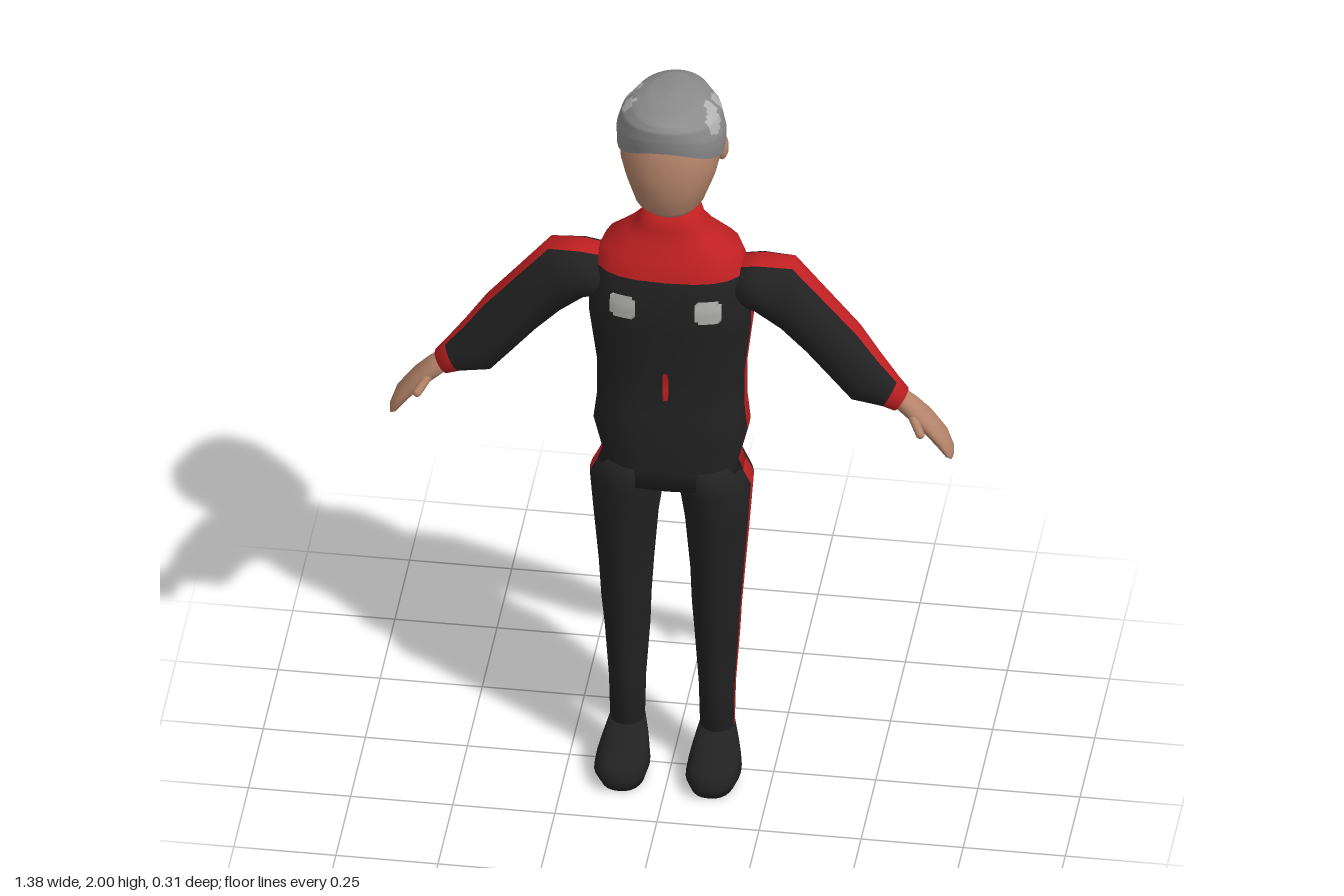
import * as THREE from 'three';

const mat = (name, color, side = THREE.FrontSide) => {
  const m = new THREE.MeshStandardMaterial({ color, side });
  m.name = name;
  return m;
};

// Rings of points -> smooth indexed mesh; pick(row, column) chooses the material index.
function skinRings(rings, pick, materials, name, caps = true) {
  const n = rings[0].length, pos = rings.flat().flatMap(p => p.toArray());
  const lists = materials.map(() => []);
  for (let i = 0; i < rings.length - 1; i++) for (let j = 0; j < n; j++) {
    const k = (j + 1) % n, a = i * n + j, b = i * n + k;
    lists[pick(i, j)].push(a, a + n, b, b, a + n, b + n);
  }
  if (caps) [0, rings.length - 1].forEach((r, end) => {
    const c = new THREE.Vector3();
    rings[r].forEach(p => c.addScaledVector(p, 1 / n));
    const id = pos.length / 3;
    pos.push(c.x, c.y, c.z);
    for (let j = 0; j < n; j++) {
      const a = r * n + j, b = r * n + (j + 1) % n;
      lists[pick(end ? r - 1 : 0, j)].push(...(end ? [id, b, a] : [id, a, b]));
    }
  });
  const g = new THREE.BufferGeometry();
  g.setAttribute('position', new THREE.Float32BufferAttribute(pos, 3));
  g.setIndex(lists.flat());
  let start = 0;
  lists.forEach((l, m) => { g.addGroup(start, l.length, m); start += l.length; });
  g.computeVertexNormals();
  const mesh = new THREE.Mesh(g, materials.length > 1 ? materials : materials[0]);
  mesh.name = name;
  return mesh;
}

// Angles with a narrow strip of half-width s around 0 and around PI.
const STEPS = 10;
function stripAngles(s) {
  const out = [];
  for (const base of [0, Math.PI]) {
    out.push(base);
    for (let k = 0; k <= STEPS; k++) out.push(base + s + (Math.PI - 2 * s) * k / STEPS);
  }
  return out;
}
const HALF = STEPS + 2, COUNT = 2 * HALF;
const outerStrip = j => j === 0 || j === COUNT - 1;
const innerStrip = j => j === HALF || j === HALF - 1;

// Superellipse ring with centre c and half-axes A, B.
function ring(c, A, B, s, e = 2) {
  const p = (v) => Math.sign(v) * Math.pow(Math.abs(v) < 1e-9 ? 0 : Math.abs(v), 2 / e);
  return stripAngles(s).map(t =>
    c.clone().addScaledVector(A, p(Math.cos(t))).addScaledVector(B, p(Math.sin(t))));
}
const V = (x, y, z) => new THREE.Vector3(x, y, z);

// Upright section: y, centre x, half width, front z, back z
const flatRing = (m, [y, cx, rx, zf, zb], s, e) =>
  ring(V(m * cx, y, (zf + zb) / 2), V(m * rx, 0, 0), V(0, 0, m * (zf - zb) / 2), s, e);
// Limb section: top x, top y, bottom x, bottom y, centre z, half depth
const limbRing = (m, [tx, ty, bx, by, z, rz], s) =>
  ring(V(m * (tx + bx) / 2, (ty + by) / 2, z), V(m * (tx - bx) / 2, (ty - by) / 2, 0), V(0, 0, -m * rz), s);

const lerpRow = (rows, y) => {
  let i = 0;
  while (i < rows.length - 2 && rows[i + 1][0] < y) i++;
  const t = (y - rows[i][0]) / (rows[i + 1][0] - rows[i][0]);
  return rows[i].map((v, k) => v + (rows[i + 1][k] - v) * t);
};

const TORSO_E = 2.6;
const TORSO = [
  [.885, 0, .188, .105, -.115], [.94, 0, .168, .11, -.125], [1.03, 0, .19, .115, -.13],
  [1.1, 0, .182, .107, -.128], [1.2, 0, .182, .10, -.12], [1.35, 0, .2, .116, -.118],
  [1.43, 0, .2, .118, -.116], [1.505, 0, .185, .108, -.115], [1.55, 0, .165, .088, -.11],
  [1.59, 0, .11, .07, -.09], [1.62, 0, .08, .06, -.08], [1.665, 0, .066, .055, -.075]];
const LEG = [
  [.115, .11, .042, .03, -.06], [.25, .11, .045, .04, -.07], [.4, .11, .055, .056, -.09],
  [.5, .111, .061, .066, -.07], [.6, .112, .067, .076, -.1], [.75, .112, .079, .092, -.108],
  [.87, .108, .092, .108, -.118], [.94, .088, .076, .105, -.12]];
const SHOE = [
  [.005, .11, .054, .135, -.022], [.04, .112, .067, .155, -.03], [.065, .112, .063, .13, -.036],
  [.09, .111, .056, .085, -.045], [.13, .11, .043, .03, -.06]];
const ARM = [
  [.16, 1.52, .16, 1.4, 0, .07], [.22, 1.53, .21, 1.385, 0, .078], [.3, 1.527, .27, 1.33, -.006, .072],
  [.38, 1.43, .33, 1.265, -.01, .066], [.46, 1.335, .4, 1.18, -.012, .062],
  [.51, 1.265, .44, 1.135, -.006, .052], [.555, 1.205, .515, 1.125, 0, .037], [.58, 1.172, .545, 1.115, 0, .032]];
const HAND = [
  [.565, 1.175, .54, 1.13, 0, .026], [.6, 1.143, .572, 1.1, -.003, .034], [.635, 1.105, .605, 1.07, -.006, .038],
  [.675, 1.05, .645, 1.025, -.006, .037], [.69, 1.005, .67, .992, -.006, .03], [.69, .988, .682, .984, -.006, .018]];
const HEAD = [
  [1.63, 0, .058, .045, -.068], [1.665, 0, .058, .05, -.075], [1.69, 0, .068, .092, -.08],
  [1.72, 0, .086, .126, -.086], [1.78, 0, .109, .133, -.1], [1.83, 0, .121, .142, -.11],
  [1.9, 0, .125, .132, -.12], [1.96, 0, .09, .1, -.1]];
// Hair: height share, side, front and back reach
const HAIR = [
  [0, .129, .139, .118], [.2, .133, .142, .13], [.4, .133, .144, .142], [.7, .12, .144, .157],
  [.87, .093, .134, .143], [.97, .05, .095, .09], [1, .002, .002, .002]];
const HAIR_BLOBS = [
  [.115, 1.95, .04, .03], [.11, 1.955, -.05, .025], [-.115, 1.95, -.04, .035], [.03, 1.93, -.155, .035],
  [-.06, 1.9, -.14, .025], [.1, 1.965, .01, .022], [-.1, 1.96, .03, .022], [.085, 1.87, -.11, .02]];

// Thin badge that follows the torso surface
function badge(name, material, x, y, w, h, side) {
  const g = new THREE.PlaneGeometry(w, h, 8, 8), p = g.attributes.position;
  for (let i = 0; i < p.count; i++) {
    const u = p.getX(i) / w * 2, v = p.getY(i) / h * 2;
    const corner = Math.abs(u * v) > .99 ? .012 : 0;
    const px = x + side * (p.getX(i) - Math.sign(u) * corner), py = y + p.getY(i) - Math.sign(v) * corner;
    const [, , rx, zf, zb] = lerpRow(TORSO, py);
    const k = Math.pow(1 - Math.pow(Math.abs(px) / rx, TORSO_E), 1 / TORSO_E);
    p.setXYZ(i, px, py, (zf + zb) / 2 + side * ((zf - zb) / 2 * k + .004));
  }
  g.computeVertexNormals();
  const m = new THREE.Mesh(g, material);
  m.name = name;
  return m;
}

function hair(materials) {
  const n = 56, rows = 24, rings = [];
  for (let i = 0; i <= rows; i++) {
    const [f, rx, zf, zb] = lerpRow(HAIR, Math.pow(i / rows, .85));
    rings.push(Array.from({ length: n }, (_, j) => {
      const t = j / n * Math.PI * 2, s = Math.sin(t);
      const hem = s > 0 ? 1.845 + .065 * s * s : 1.845 + .1 * s;
      return V(rx * Math.cos(t), hem + (2 - hem) * f, s * (s > 0 ? zf : zb));
    }));
  }
  const light = (i, j) => {
    const p = rings[i][j];
    return HAIR_BLOBS.some(([x, y, z, r]) => p.distanceTo(V(x, y, z)) < r) ? 1 : 0;
  };
  return skinRings(rings, light, materials, 'hair', false);
}

export function createModel() {
  const suit = mat('suitBlack', 0x222222), red = mat('trimRed', 0xc02022), skin = mat('skin', 0xb5846a);
  const grey = mat('hairGrey', 0x8c8c8c, THREE.DoubleSide), pale = mat('hairHighlight', 0xb4b4b4, THREE.DoubleSide);
  const patch = mat('badgeGrey', 0xb2b2ae, THREE.DoubleSide), trim = mat('zipRed', 0xc02022, THREE.DoubleSide);
  const root = new THREE.Group();
  root.name = 'figure';

  // Torso with red side stripes, yoke and collar
  root.add(skinRings(TORSO.map(r => flatRing(1, r, .14, TORSO_E)),
    (i, j) => (i >= 7 || outerStrip(j) || innerStrip(j) ? 1 : 0), [suit, red], 'torso'));
  root.add(badge('backPanel', patch, 0, 1.415, .21, .1, -1));
  root.add(badge('zip', trim, 0, 1.195, .014, .08, 1));

  // Head
  root.add(skinRings(HEAD.map(r => flatRing(1, r, .25, 2.1)), () => 0, [skin], 'head'));
  root.add(hair([grey, pale]));

  for (const m of [1, -1]) {
    const side = m > 0 ? 'left' : 'right';
    // Legs and shoes
    root.add(skinRings(LEG.map(r => flatRing(m, r, .24)), (i, j) => (outerStrip(j) ? 1 : 0), [suit, red], side + 'Leg'));
    root.add(skinRings(SHOE.map(r => flatRing(m, r, .3, 2.3)), () => 0, [suit], side + 'Shoe'));
    // Arms with a stripe on top and a red cuff
    root.add(skinRings(ARM.map(r => limbRing(m, r, .42)),
      (i, j) => (i === 6 || outerStrip(j) ? 1 : 0), [suit, red], side + 'Arm'));
    root.add(skinRings(HAND.map(r => limbRing(m, r, .3)), () => 0, [skin], side + 'Hand'));
    const thumb = new THREE.Mesh(new THREE.CapsuleGeometry(.011, .045, 4, 10), skin);
    thumb.name = side + 'Thumb';
    thumb.position.set(m * .605, 1.093, .037);
    thumb.quaternion.setFromUnitVectors(V(0, 1, 0), V(m * .45, -.6, .55).normalize());
    root.add(thumb);
    // Ears and chest badges
    const ear = new THREE.Mesh(new THREE.SphereGeometry(1, 14, 10), skin);
    ear.name = side + 'Ear';
    ear.scale.set(.016, .036, .02);
    ear.position.set(m * .121, 1.835, -.02);
    root.add(ear);
    root.add(badge(side + 'ChestBadge', patch, m * .105, 1.428, .064, .064, 1));
  }
  return root;
}
